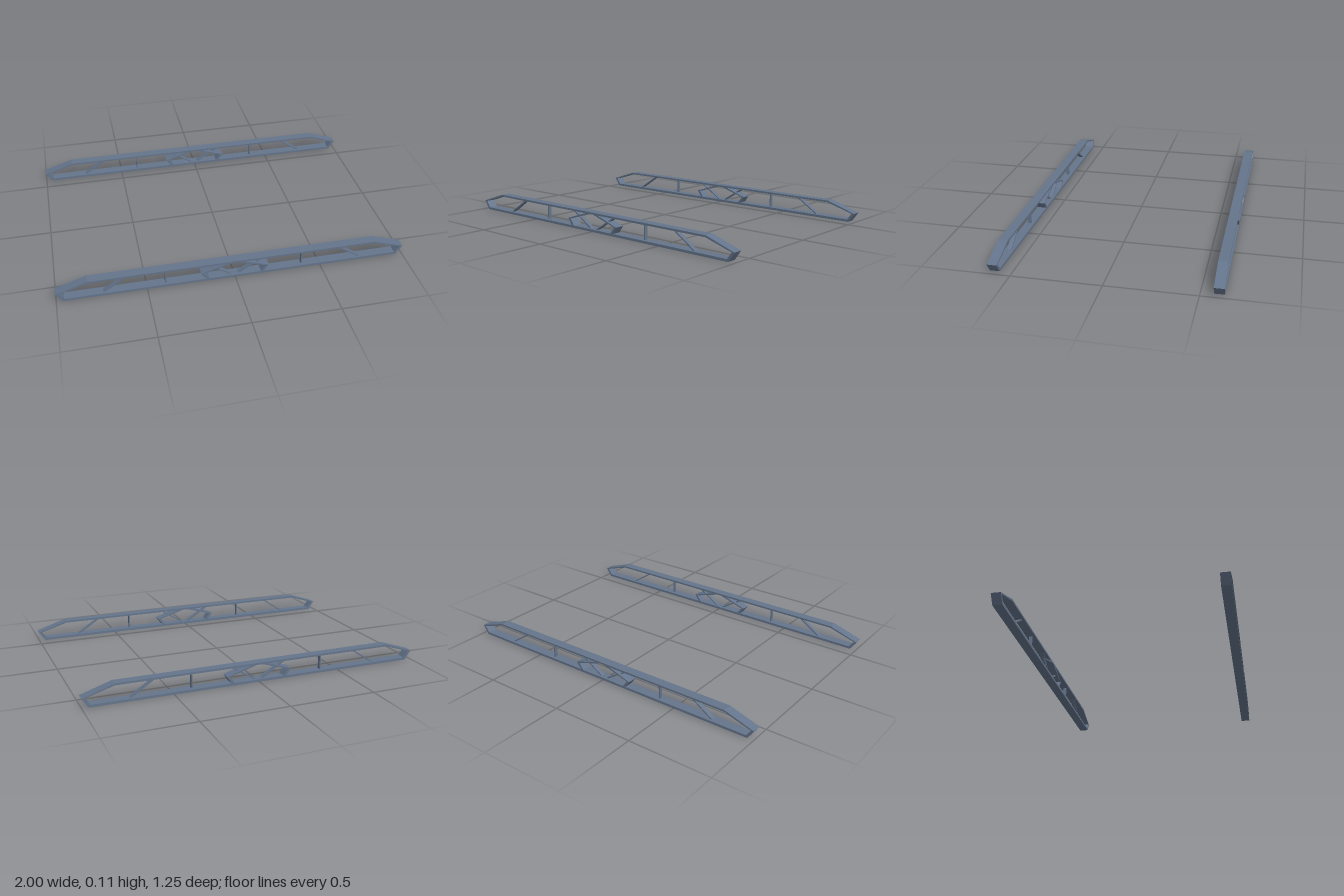
import * as THREE from 'three';

const WIDTH = 0.055; // depth of each frame along z
const RAIL_Z = 0.597;
const FRAME_X = 0.4025;

const steel = new THREE.MeshStandardMaterial({ color: 0x64748b });
steel.name = 'slate steel';

// Symmetric six-sided loop from half-widths at the bottom, tip and top
function hexLoop(bottom, tip, top) {
  return [
    [-bottom[0], bottom[1]], [bottom[0], bottom[1]], [tip[0], tip[1]],
    [top[0], top[1]], [-top[0], top[1]], [-tip[0], tip[1]],
  ].map(([x, y]) => new THREE.Vector2(x, y));
}

// Closed band with tapered ends
function frameGeometry() {
  const shape = new THREE.Shape(hexLoop([0.56, 0], [0.5975, 0.054], [0.42, 0.112]));
  shape.holes.push(new THREE.Path(hexLoop([0.552, 0.014], [0.58, 0.052], [0.418, 0.101])));
  const geometry = new THREE.ExtrudeGeometry(shape, { depth: WIDTH, bevelEnabled: false });
  return geometry.translate(0, 0, -WIDTH / 2);
}

// Flat bar between two points in the xy plane
function brace(name, x1, y1, x2, y2, thickness, depth) {
  const length = Math.hypot(x2 - x1, y2 - y1);
  const mesh = new THREE.Mesh(new THREE.BoxGeometry(length, thickness, depth), steel);
  mesh.position.set((x1 + x2) / 2, (y1 + y2) / 2, 0);
  mesh.rotation.z = Math.atan2(y2 - y1, x2 - x1);
  mesh.name = name;
  return mesh;
}

// One truss; side is +1 or -1, and the outer end points that way
function truss(side, band) {
  const group = new THREE.Group();
  group.name = side > 0 ? 'leftTruss' : 'rightTruss';
  const frame = new THREE.Mesh(band, steel);
  frame.name = 'frame';
  frame.position.x = side * FRAME_X;
  group.add(
    frame,
    brace('outerDiagonal', side * 0.745, 0.008, side * 0.595, 0.106, 0.007, 0.025),
    brace('post', side * 0.393, 0.008, side * 0.393, 0.106, 0.008, 0.02),
    brace('innerDiagonal', side * 0.015, 0.008, side * 0.17, 0.106, 0.007, 0.025),
  );
  return group;
}

export function createModel() {
  const model = new THREE.Group();
  model.name = 'trussRails';
  const band = frameGeometry();

  // Two parallel rails, each of two overlapping trusses
  for (const z of [RAIL_Z, -RAIL_Z]) {
    const rail = new THREE.Group();
    rail.name = z > 0 ? 'frontRail' : 'backRail';
    rail.position.z = z;
    rail.add(truss(-1, band), truss(1, band));
    model.add(rail);
  }
  return model;
}
